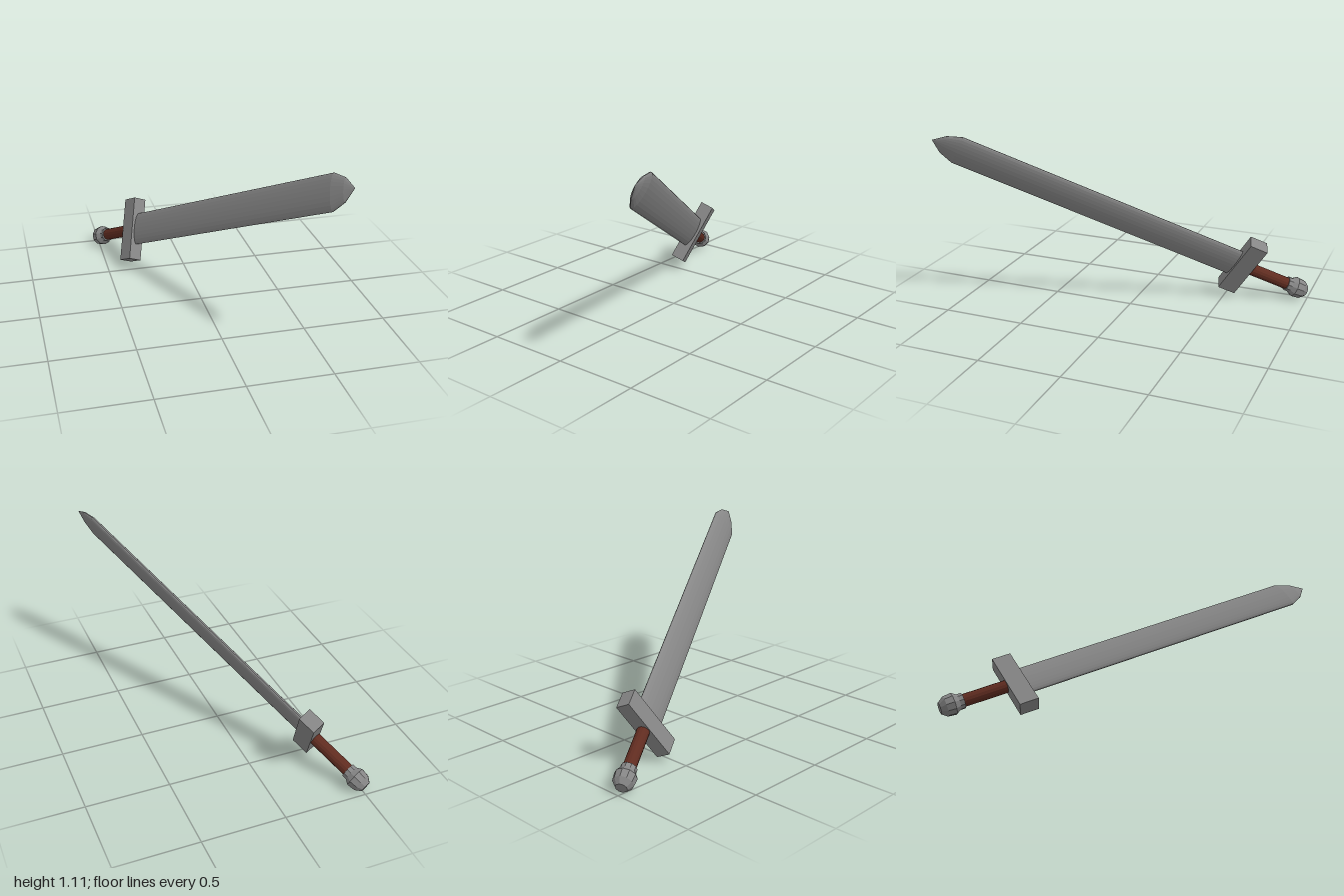
import * as THREE from 'three';

// Turned part: profile of [radius, distance along the sword axis] pairs
function turned(name, profile, sides, material) {
  const points = profile.map(([r, y]) => new THREE.Vector2(r, y));
  const mesh = new THREE.Mesh(new THREE.LatheGeometry(points, sides).toNonIndexed(), material);
  mesh.geometry.computeVertexNormals(); // faceted
  mesh.name = name;
  return mesh;
}

export function createModel() {
  const steel = new THREE.MeshStandardMaterial({ color: 0x868686 });
  steel.name = 'steel grey';
  const leather = new THREE.MeshStandardMaterial({ color: 0x602c20 });
  leather.name = 'leather brown';

  const sword = new THREE.Group();
  sword.name = 'sword';

  // Pommel with a narrow collar below the grip
  sword.add(turned('pommel', [
    [0, -0.065], [0.034, -0.063], [0.059, -0.03], [0.064, 0.018],
    [0.046, 0.048], [0.046, 0.075], [0, 0.075],
  ], 10, steel));

  // Grip
  sword.add(turned('grip', [[0, 0.07], [0.037, 0.07], [0.037, 0.37], [0, 0.37]], 14, leather));

  // Crossguard
  const guard = new THREE.Mesh(new THREE.BoxGeometry(0.408, 0.113, 0.085), steel);
  guard.name = 'crossguard';
  guard.position.y = 0.39;
  sword.add(guard);

  // Blade: flattened oval section, rounding in to a point
  const blade = turned('blade', [
    [0, 0.4], [0.104, 0.4], [0.104, 2.26], [0.066, 2.345], [0, 2.412],
  ], 24, steel);
  blade.geometry.scale(1, 1, 0.25);
  blade.geometry.computeVertexNormals();
  sword.add(blade);

  // Lean the sword: y runs to the tip, x along the crossguard
  const along = new THREE.Vector3(0.4245, 0.422, 0.801).normalize();
  const across = new THREE.Vector3(0.2, 0.815, -0.543);
  across.addScaledVector(along, -across.dot(along)).normalize();
  const side = new THREE.Vector3().crossVectors(across, along);
  sword.quaternion.setFromRotationMatrix(new THREE.Matrix4().makeBasis(across, along, side));
  sword.position.set(-0.48, 0.067, -0.933);

  const model = new THREE.Group();
  model.name = 'model';
  model.add(sword);
  return model;
}
